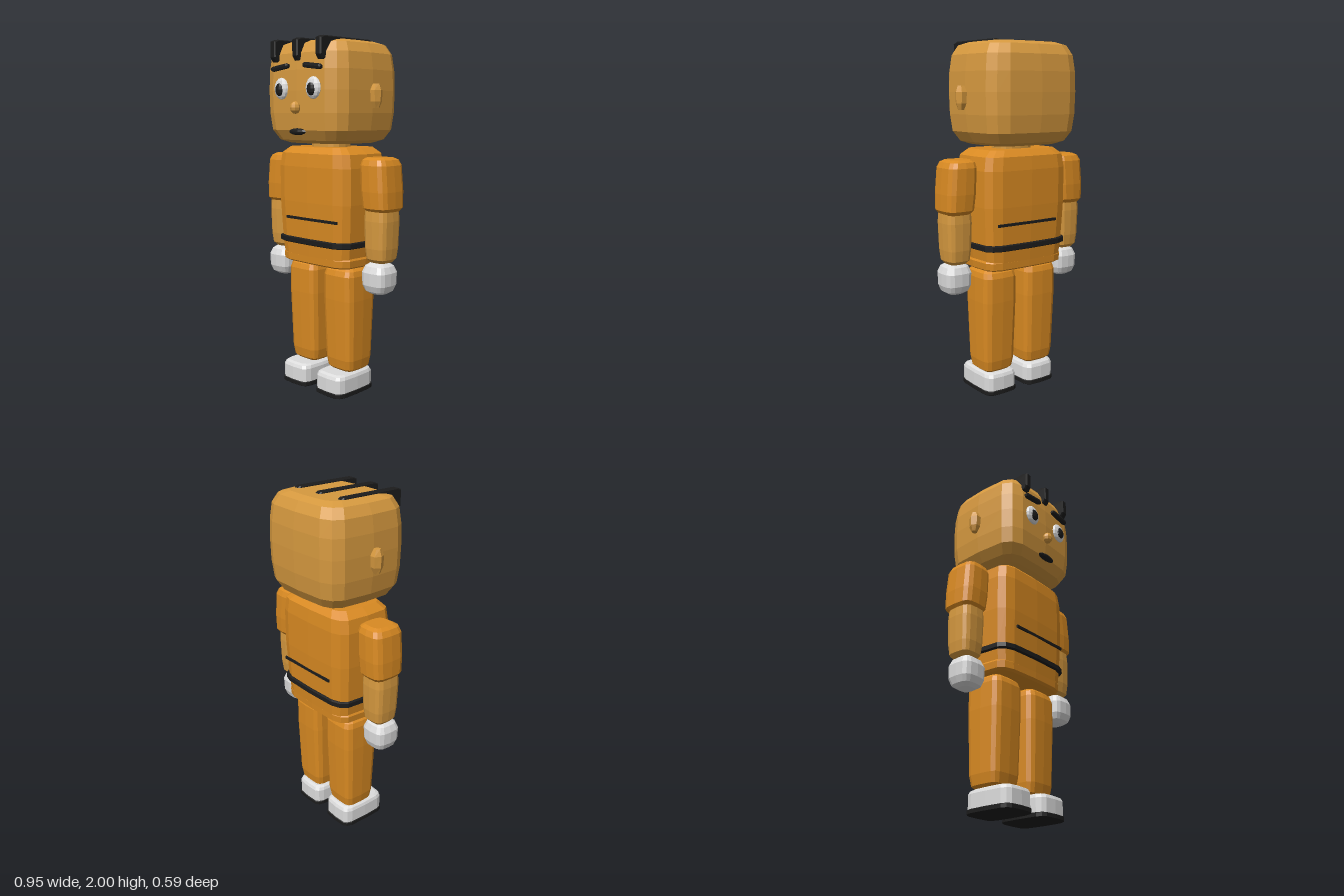
import * as THREE from 'three';

const mat = (name, color) => {
  const m = new THREE.MeshStandardMaterial({ color });
  m.name = name;
  return m;
};

// Duplicate the corners so every face is shaded flat
function faceted(geo) {
  const g = geo.index ? geo.toNonIndexed() : geo;
  g.computeVertexNormals();
  return g;
}

// Rounded-square loft; sections run bottom to top: [y, halfWidth, halfDepth, cx, cz]
function loft(sections, power = 0.42, n = 16) {
  const pos = [], idx = [];
  const curve = (v) => (Math.abs(v) < 1e-6 ? 0 : Math.sign(v) * Math.abs(v) ** power);
  for (const [y, w, d, cx = 0, cz = 0] of sections) {
    for (let i = 0; i < n; i++) {
      const a = (i / n) * Math.PI * 2;
      pos.push(cx + w * curve(Math.cos(a)), y, cz + d * curve(Math.sin(a)));
    }
  }
  const last = sections.length - 1, low = pos.length / 3, high = low + 1;
  for (const s of [sections[0], sections[last]]) pos.push(s[3] ?? 0, s[0], s[4] ?? 0);
  for (let i = 0; i < n; i++) {
    const j = (i + 1) % n;
    for (let k = 0; k < last; k++) {
      const a = k * n + i, b = k * n + j;
      idx.push(a, a + n, b, b, a + n, b + n);
    }
    idx.push(low, i, j, high, last * n + j, last * n + i);
  }
  const g = new THREE.BufferGeometry();
  g.setAttribute('position', new THREE.Float32BufferAttribute(pos, 3));
  g.setIndex(idx);
  return faceted(g);
}

// Low-poly ellipsoid
function blob(rx, ry, rz, w = 10, h = 6) {
  return faceted(new THREE.SphereGeometry(1, w, h).scale(rx, ry, rz));
}

export function createModel() {
  const model = new THREE.Group();
  model.name = 'figure';
  const orange = mat('orange cloth', 0xd98a22);
  const skin = mat('skin', 0xd6993f);
  const white = mat('off white', 0xdcdcdc);
  const black = mat('black', 0x1c1c1c);

  const add = (name, geo, material, x = 0, y = 0, z = 0) => {
    const m = new THREE.Mesh(geo, material);
    m.name = name;
    m.position.set(x, y, z);
    model.add(m);
    return m;
  };

  // Head and neck
  const headProfile = [[1.432, 0.66], [1.45, 0.83], [1.505, 0.95], [1.6, 0.99],
    [1.72, 1], [1.83, 0.99], [1.92, 0.95], [1.972, 0.85], [1.99, 0.68]];
  add('head', loft(headProfile.map(([y, s]) => [y, 0.31 * s, 0.275 * s, 0, -0.02]), 0.44), skin);
  add('neck', loft([[1.39, 0.11, 0.09, 0, -0.015], [1.46, 0.11, 0.09, 0, -0.015]], 0.7), skin);

  // Torso, belt and hem
  add('torso', loft([
    [0.79, 0.262, 0.178], [0.87, 0.272, 0.184], [1.1, 0.284, 0.195],
    [1.3, 0.284, 0.196], [1.375, 0.272, 0.188], [1.41, 0.225, 0.155],
  ].map((s) => [...s, 0, -0.016]), 0.4), orange);
  add('belt', loft([
    [0.858, 0.276, 0.19], [0.863, 0.286, 0.198], [0.888, 0.286, 0.198], [0.893, 0.276, 0.19],
  ].map((s) => [...s, 0, -0.016]), 0.4), black);
  add('hem', loft([
    [0.742, 0.25, 0.16], [0.752, 0.266, 0.176], [0.79, 0.27, 0.178], [0.803, 0.262, 0.17],
  ].map((s) => [...s, 0, -0.016]), 0.4), orange);

  // Shirt creases, front and back
  for (const z of [0.174, -0.207]) {
    const name = z > 0 ? 'frontCrease' : 'backCrease';
    add(name, faceted(new THREE.BoxGeometry(0.4, 0.015, 0.009)), black, 0.025, 1.006, z);
  }

  // Face centre
  add('nose', blob(0.03, 0.034, 0.03, 8, 6), skin, 0, 1.628, 0.265);
  add('mouth', blob(0.066, 0.019, 0.02), black, 0, 1.498, 0.25);

  // Hair strips folding over the forehead, as an extruded side profile
  const side = new THREE.Shape([
    [-0.145, 1.98], [-0.12, 1.994], [0.24, 1.994], [0.264, 1.985], [0.264, 1.905],
    [0.25, 1.884], [0.225, 1.884], [0.2, 1.96], [0.15, 1.975],
  ].map(([z, y]) => new THREE.Vector2(-z, y)));
  const strip = faceted(new THREE.ExtrudeGeometry(side, {
    depth: 0.028, bevelSize: 0.006, bevelThickness: 0.008, bevelSegments: 1,
  }).translate(0, 0, -0.014).rotateY(Math.PI / 2));
  for (const x of [-0.178, 0, 0.178]) add('hairStrip', strip, black, x);

  for (const s of [1, -1]) {
    const side = s > 0 ? 'left' : 'right';

    // Eye, brow and ear
    add(side + 'Eye', blob(0.054, 0.06, 0.024, 12, 8), white, s * 0.125, 1.732, 0.25);
    add(side + 'Pupil', blob(0.031, 0.036, 0.016, 10, 6), black, s * 0.125, 1.726, 0.266);
    const brow = add(side + 'Brow', loft([
      [-0.068, 0.009, 0.009], [-0.055, 0.015, 0.014], [0.055, 0.015, 0.014], [0.068, 0.009, 0.009],
    ], 0.6, 8).rotateZ(Math.PI / 2), black, s * 0.126, 1.846, 0.258);
    brow.rotation.z = -s * 0.12;
    add(side + 'Ear', loft([
      [-0.065, 0.017, 0.017], [-0.03, 0.03, 0.034], [0.03, 0.032, 0.038], [0.065, 0.02, 0.02],
    ], 1, 6), skin, s * 0.334, 1.69, -0.018);

    // Sleeve, forearm and hand
    add(side + 'Sleeve', loft([
      [1.068, 0.07, 0.08, s * 0.388, -0.02], [1.09, 0.088, 0.1, s * 0.386, -0.02],
      [1.18, 0.093, 0.105, s * 0.38, -0.02], [1.32, 0.091, 0.102, s * 0.37, -0.02],
      [1.35, 0.08, 0.09, s * 0.366, -0.02], [1.362, 0.06, 0.066, s * 0.362, -0.02],
    ], 0.55), orange);
    add(side + 'Forearm', loft([
      [0.79, 0.05, 0.054], [0.81, 0.068, 0.073], [0.87, 0.075, 0.081],
      [1.02, 0.08, 0.085], [1.1, 0.075, 0.08],
    ].map((p) => [...p, s * 0.384, -0.016]), 0.55), skin);
    const handProfile = [[-0.086, 0.5], [-0.07, 0.8], [-0.035, 0.97], [0.035, 1], [0.07, 0.82], [0.088, 0.5]];
    add(side + 'Hand', loft(handProfile.map(([y, r]) => [y, 0.084 * r, 0.084 * r]), 0.6),
      white, s * 0.382, 0.702, -0.002);

    // Trouser leg
    add(side + 'Leg', loft([
      [0.128, 0.075, 0.075], [0.145, 0.096, 0.096], [0.2, 0.105, 0.106], [0.55, 0.114, 0.12],
      [0.69, 0.112, 0.12], [0.72, 0.104, 0.11], [0.737, 0.085, 0.09],
    ].map((p) => [...p, s * 0.142, -0.016]), 0.45), orange);

    // Shoe and sole
    add(side + 'Shoe', loft([
      [0.022, 0.106, 0.152], [0.105, 0.106, 0.152], [0.122, 0.099, 0.144], [0.13, 0.086, 0.128],
    ].map((p) => [...p, s * 0.138, 0.018]), 0.42), white);
    add(side + 'Sole', loft([
      [0, 0.104, 0.15], [0.005, 0.11, 0.157], [0.025, 0.11, 0.157], [0.029, 0.105, 0.151],
    ].map((p) => [...p, s * 0.138, 0.018]), 0.42), black);
  }
  return model;
}
